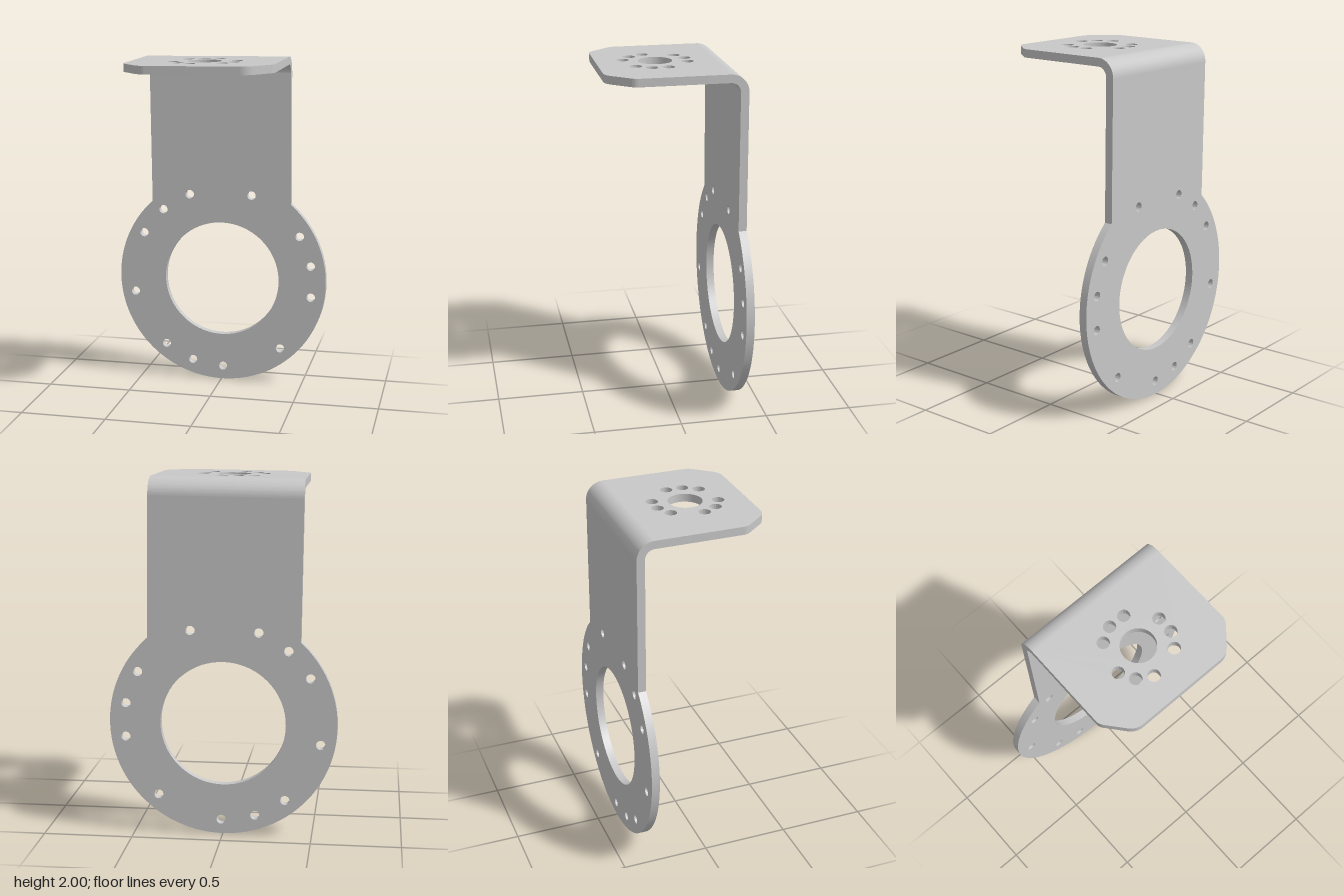
import * as THREE from 'three';
import { toCreasedNormals } from 'three/addons/utils/BufferGeometryUtils.js';

const T = 0.046;        // sheet thickness
const HALF = 0.425;     // half width of neck and flange
const BACK = -0.379;    // rear face of the upright plate
const TOP = 1.356;      // flange top, measured from the ring centre
const BEND = 0.1;       // outer bend radius
const RING = 0.637;     // outer ring radius

function addHole(shape, x, y, r) {
  const hole = new THREE.Path();
  hole.absarc(x, y, r, 0, Math.PI * 2, true);
  shape.holes.push(hole);
}

// Holes at chosen steps around a pitch circle
function addHoleCircle(shape, cy, pitch, r, start, step, slots) {
  for (const k of slots) {
    const a = THREE.MathUtils.degToRad(start + step * k);
    addHole(shape, pitch * Math.cos(a), cy + pitch * Math.sin(a), r);
  }
}

function extrude(shape, depth) {
  return new THREE.ExtrudeGeometry(shape, { depth, bevelEnabled: false, curveSegments: 48 });
}

export function createModel() {
  const steel = new THREE.MeshStandardMaterial({ color: 0xc8c8c8 });
  steel.name = 'light grey steel';
  const model = new THREE.Group();
  model.name = 'mountingBracket';

  // The bracket leans very slightly around the ring centre
  const bracket = new THREE.Group();
  bracket.name = 'bracket';
  bracket.position.y = 0.64;
  bracket.rotation.z = 0.0125;
  model.add(bracket);

  const addPart = (name, geometry) => {
    const mesh = new THREE.Mesh(toCreasedNormals(geometry, 0.5), steel);
    mesh.name = name;
    bracket.add(mesh);
  };

  // Upright plate: ring with neck
  const a = Math.acos(HALF / RING);
  const plate = new THREE.Shape();
  plate.absarc(0, 0, RING, Math.PI - a, Math.PI * 2 + a, false);
  plate.lineTo(HALF, TOP - BEND);
  plate.lineTo(-HALF, TOP - BEND);
  plate.closePath();
  addHole(plate, 0, 0.001, 0.351);
  addHoleCircle(plate, 0, 0.555, 0.026, 10.3, 20, [0, 1, 3, 5, 6, 7, 9, 11, 12, 13, 15, 17]);
  addPart('ringPlate', extrude(plate, T).translate(0, 0, BACK));

  // Rounded bend between plate and flange
  const bend = new THREE.Shape();
  bend.absarc(0, 0, BEND, Math.PI / 2, Math.PI, false);
  bend.absarc(0, 0, BEND - T, Math.PI, Math.PI / 2, true);
  bend.closePath();
  addPart('bend', extrude(bend, HALF * 2)
    .rotateY(-Math.PI / 2)
    .translate(HALF, TOP - BEND, BACK + BEND));

  // Top flange, drawn as x and z, with rounded chamfered front corners
  const front = 0.38;
  const flange = new THREE.Shape();
  flange.moveTo(-HALF, BACK + BEND);
  flange.lineTo(HALF, BACK + BEND);
  flange.lineTo(HALF, 0.212);
  flange.quadraticCurveTo(HALF, 0.235, 0.408, 0.255);
  flange.lineTo(0.335, 0.342);
  flange.quadraticCurveTo(0.304, front, 0.26, front);
  flange.lineTo(-0.26, front);
  flange.quadraticCurveTo(-0.304, front, -0.335, 0.342);
  flange.lineTo(-0.408, 0.255);
  flange.quadraticCurveTo(-HALF, 0.235, -HALF, 0.212);
  flange.closePath();
  addHole(flange, -0.002, 0.05, 0.095);
  addHoleCircle(flange, 0.05, 0.18, 0.034, 16, 30, [0, 1, 3, 4, 5, 7, 8, 9, 11]);
  addPart('topFlange', extrude(flange, T).rotateX(Math.PI / 2).translate(0, TOP, 0));

  return model;
}
